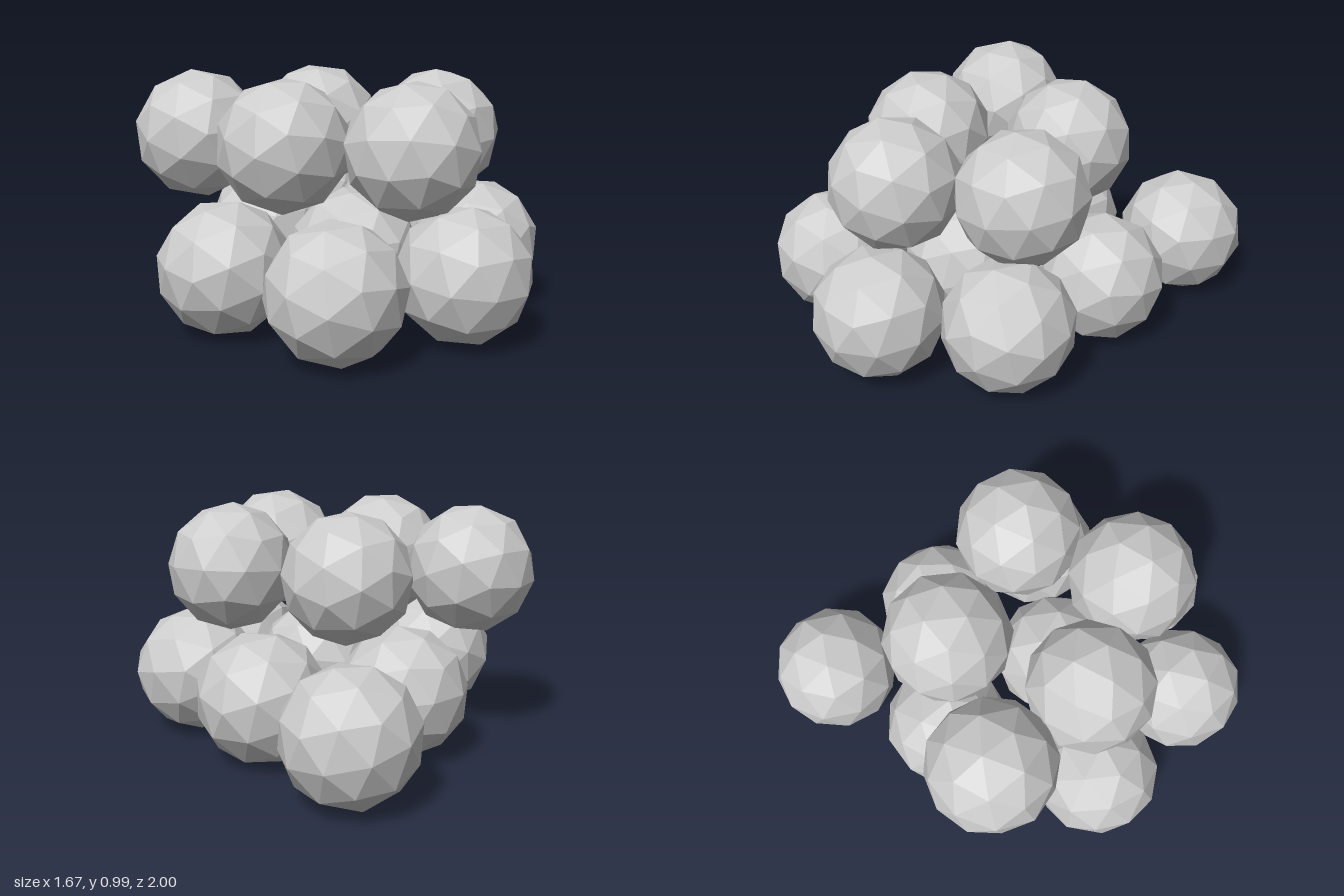
import * as THREE from 'three';

const RADIUS = 0.266;

// Ball centres [x, z] for each layer of the stack
const LAYERS = [
  {
    name: 'lowerBall', y: 0.27,
    centres: [
      [-0.255, -0.74], [0.175, -0.4], [-0.35, -0.19], [0.57, -0.07],
      [0.09, 0.17], [-0.37, 0.48], [0.54, 0.44], [0.1, 0.73],
    ],
  },
  {
    name: 'upperBall', y: 0.73,
    centres: [[-0.575, 0.09], [-0.13, -0.235], [0.395, -0.1], [-0.16, 0.365], [0.34, 0.4]],
  },
];

// Small repeatable random generator for the tumbled orientations
function seeded(seed) {
  return () => {
    seed = (seed * 16807) % 2147483647;
    return seed / 2147483647;
  };
}

export function createModel() {
  const model = new THREE.Group();
  model.name = 'ballPile';
  const material = new THREE.MeshStandardMaterial({ color: 0xcccccc, flatShading: true });
  const geometry = new THREE.IcosahedronGeometry(RADIUS, 1);
  const random = seeded(4711);
  const angle = () => random() * Math.PI * 2;

  for (const { name, y, centres } of LAYERS) {
    centres.forEach(([x, z], i) => {
      const ball = new THREE.Mesh(geometry, material);
      ball.name = name + (i + 1);
      ball.position.set(x, y, z);
      ball.rotation.set(angle(), angle(), angle());
      model.add(ball);
    });
  }

  // Rest the pile on the ground
  model.updateMatrixWorld(true);
  const lowest = new THREE.Box3().setFromObject(model, true).min.y;
  for (const ball of model.children) ball.position.y -= lowest;
  return model;
}
